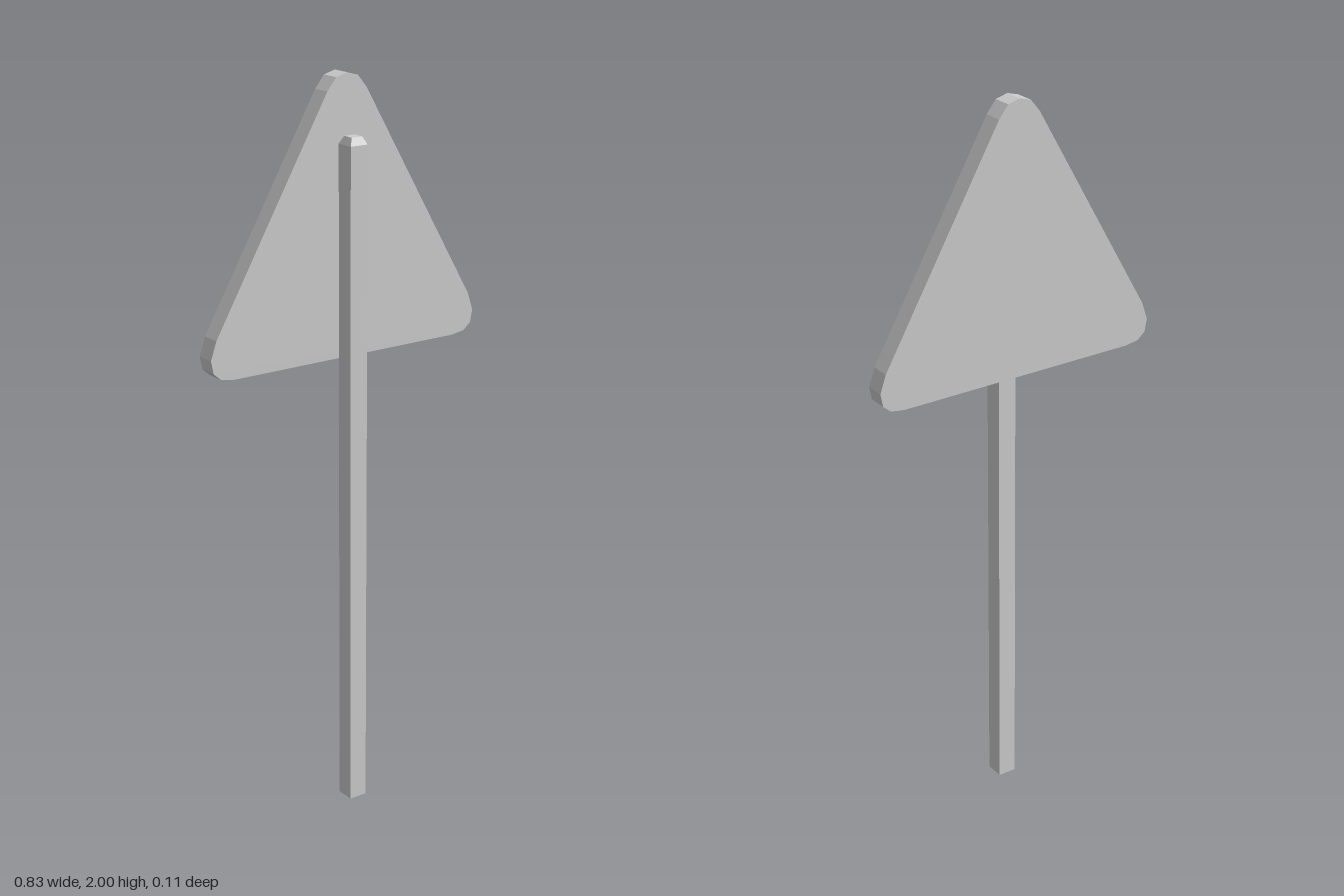
import * as THREE from 'three';

const material = new THREE.MeshStandardMaterial({ color: 0xcccccc, flatShading: true });

// Triangular plate with blunt, faceted corners
function createPlate() {
  const half = [
    [0.033, 1.991], [0.06, 1.958], [0.397, 1.374], [0.414, 1.325],
    [0.407, 1.29], [0.385, 1.271], [0.345, 1.265],
  ];
  const right = half.map(([x, y]) => new THREE.Vector2(x, y));
  const left = half.map(([x, y]) => new THREE.Vector2(-x, y)).reverse();
  const outline = new THREE.Shape([new THREE.Vector2(0, 2), ...right, ...left]);
  const geometry = new THREE.ExtrudeGeometry(outline, { depth: 0.053, bevelEnabled: false });
  geometry.translate(0, 0, -0.053);
  const plate = new THREE.Mesh(geometry, material);
  plate.name = 'signPlate';
  return plate;
}

// Square post whose top ring is pulled in to form a chamfer
function createPost() {
  const height = 1.845, chamferStart = 1.825, width = 0.052, topScale = 0.62;
  const geometry = new THREE.BoxGeometry(width, height, width, 1, 2, 1);
  geometry.translate(0, height / 2, 0);
  const p = geometry.attributes.position;
  for (let i = 0; i < p.count; i++) {
    const y = p.getY(i);
    if (y > height - 0.01) {
      p.setX(i, p.getX(i) * topScale);
      p.setZ(i, p.getZ(i) * topScale);
    } else if (y > 0.01) {
      p.setY(i, chamferStart);
    }
  }
  geometry.computeVertexNormals();
  const post = new THREE.Mesh(geometry, material);
  post.name = 'post';
  post.position.z = width / 2;
  return post;
}

export function createModel() {
  const group = new THREE.Group();
  group.name = 'triangularRoadSign';
  group.add(createPlate(), createPost());
  return group;
}
